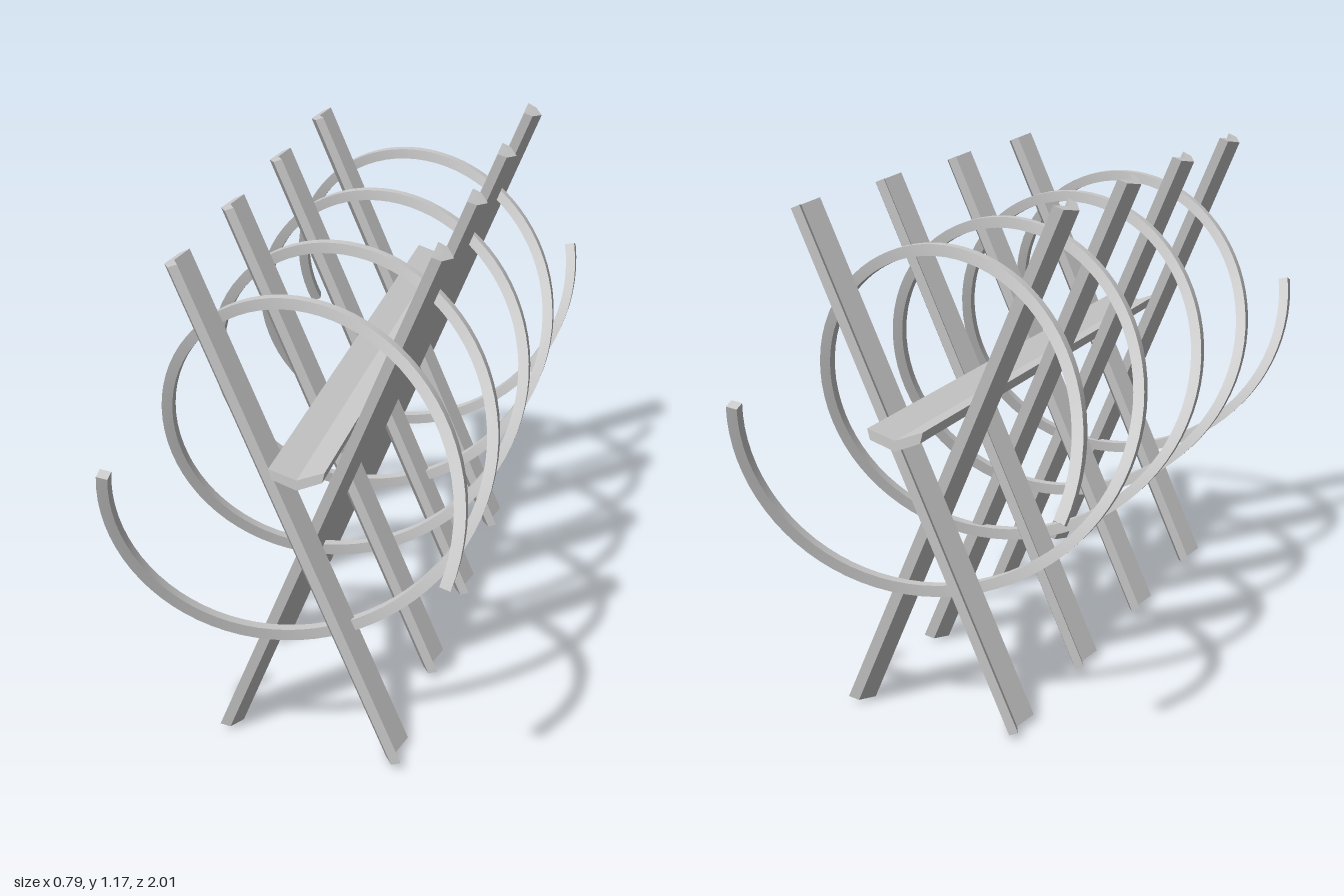
import * as THREE from 'three';
import { toCreasedNormals } from 'three/addons/utils/BufferGeometryUtils.js';

const PITCH = 0.9547; // length of one full helix turn
const AXIS_Y = 0.67;
const material = new THREE.MeshStandardMaterial({ color: 0xcccccc });

// Shallow angle profile shared by the planks and the spine
const profile = new THREE.Shape([
  [-0.063, 0.023], [-0.057, -0.001], [0, -0.023],
  [0.057, -0.001], [0.063, 0.023], [0, 0.001],
].map(([x, y]) => new THREE.Vector2(x, y)));

// Angle bar from one point to another, its open side facing up
function angleBar(name, from, to) {
  const z = to.clone().sub(from);
  const length = z.length();
  z.normalize();
  const y = new THREE.Vector3(0, 1, 0).addScaledVector(z, -z.y).normalize();
  const x = new THREE.Vector3().crossVectors(y, z);
  const geometry = new THREE.ExtrudeGeometry(profile, { depth: length, bevelEnabled: false });
  geometry.applyMatrix4(new THREE.Matrix4().makeBasis(x, y, z).setPosition(from));
  const mesh = new THREE.Mesh(geometry, material);
  mesh.name = name;
  return mesh;
}

// Square-section rod wound around the z axis
function helixRod(name, phase) {
  const radius = 0.384, half = 0.013, steps = 160, k = -2 * Math.PI / PITCH;
  const positions = [], index = [];
  for (let i = 0; i <= steps; i++) {
    const z = -0.995 + 1.99 * i / steps;
    const a = k * z + phase;
    const out = new THREE.Vector3(Math.cos(a), Math.sin(a), 0);
    const tangent = new THREE.Vector3(-Math.sin(a) * radius * k, Math.cos(a) * radius * k, 1).normalize();
    const side = new THREE.Vector3().crossVectors(tangent, out);
    for (const [u, v] of [[-1, -1], [1, -1], [1, 1], [-1, 1]]) {
      const p = new THREE.Vector3(0, AXIS_Y, z)
        .addScaledVector(out, radius + u * half)
        .addScaledVector(side, v * half);
      positions.push(p.x, p.y, p.z);
    }
    if (i === steps) continue;
    for (let j = 0; j < 4; j++) {
      const a0 = i * 4 + j, b0 = i * 4 + (j + 1) % 4;
      index.push(a0, b0, b0 + 4, a0, b0 + 4, a0 + 4);
    }
  }
  // End caps
  const e = steps * 4;
  index.push(0, 2, 1, 0, 3, 2, e, e + 1, e + 2, e, e + 2, e + 3);
  const geometry = new THREE.BufferGeometry();
  geometry.setAttribute('position', new THREE.Float32BufferAttribute(positions, 3));
  geometry.setIndex(index);
  const mesh = new THREE.Mesh(toCreasedNormals(geometry, 0.6), material);
  mesh.name = name;
  return mesh;
}

export function createModel() {
  const model = new THREE.Group();
  model.name = 'crossedPlankHelix';

  // Four pairs of crossed planks, half a helix turn apart
  for (let i = 0; i < 4; i++) {
    const dz = -i * PITCH / 2;
    const pair = new THREE.Group();
    pair.name = 'crossedPlanks' + (i + 1);
    pair.add(
      angleBar('frontPlank', new THREE.Vector3(0.208, 0.009, 0.743 + dz), new THREE.Vector3(-0.275, 1.157, 0.769 + dz)),
      angleBar('rearPlank', new THREE.Vector3(-0.197, 0.009, 0.633 + dz), new THREE.Vector3(0.287, 1.157, 0.607 + dz)),
    );
    model.add(pair);
  }

  // Spine lying in the upper fork of the planks
  model.add(angleBar('spine', new THREE.Vector3(0.003, 0.69, -1), new THREE.Vector3(0.003, 0.69, 0.823)));

  // Two opposed helical rods
  const shift = THREE.MathUtils.degToRad(4.5);
  model.add(helixRod('helixRodA', -shift), helixRod('helixRodB', Math.PI + shift));

  return model;
}
